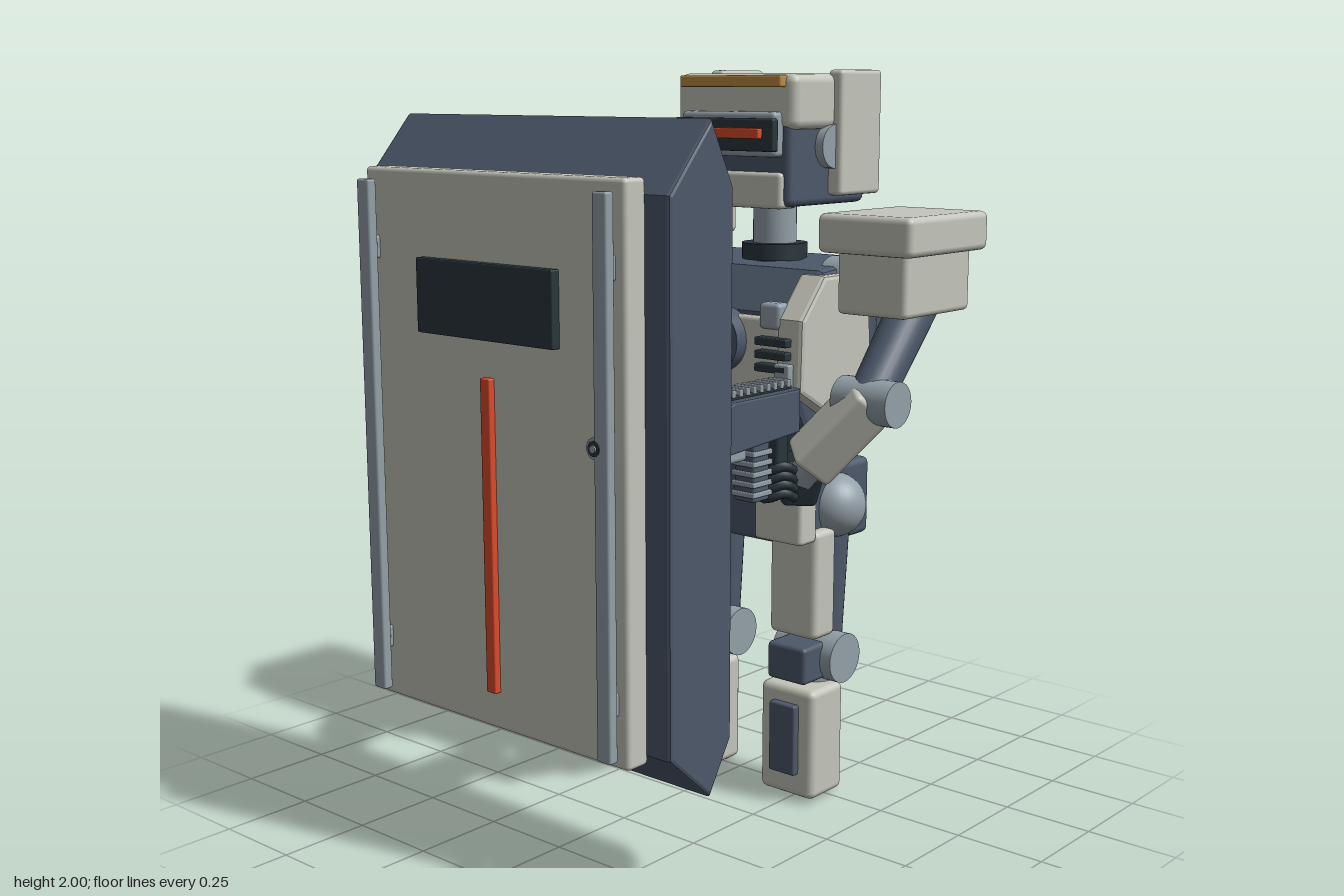
import * as THREE from 'three';
import { RoundedBoxGeometry } from 'three/addons/geometries/RoundedBoxGeometry.js';

const colour = (name, hex) => {
  const m = new THREE.MeshStandardMaterial({ color: hex });
  m.name = name;
  return m;
};

export function createModel() {
  const light = colour('warmGrey', 0xc4c5ba);
  const slate = colour('slateBlue', 0x4c586a);
  const steel = colour('steel', 0x93a0a8);
  const black = colour('darkTeal', 0x29363c);
  const red = colour('signalRed', 0xdc4a2b);
  const amber = colour('amber', 0xbd8c42);

  const model = new THREE.Group();
  model.name = 'shieldRobot';
  const CX = 0.0625; // middle of the robot's body
  let parent = model;
  const section = (name) => {
    parent = new THREE.Group();
    parent.name = name;
    model.add(parent);
  };
  const add = (name, mat, geo) => {
    const mesh = new THREE.Mesh(geo, mat);
    mesh.name = name;
    parent.add(mesh);
    return mesh;
  };
  // rounded box given by its bounds
  const box = (name, mat, [x0, x1], [y0, y1], [z0, z1], r = 0.012) => {
    const w = x1 - x0, h = y1 - y0, d = z1 - z0;
    const m = add(name, mat, new RoundedBoxGeometry(w, h, d, 2, Math.min(r, w * 0.3, h * 0.3, d * 0.3)));
    m.position.set((x0 + x1) / 2, (y0 + y1) / 2, (z0 + z1) / 2);
    return m;
  };
  const around = (c, half) => [c - half, c + half];
  // aim a mesh's y axis from a to b
  const aim = (mesh, a, b) => {
    const dir = b.clone().sub(a).normalize();
    mesh.position.copy(a).add(b).multiplyScalar(0.5);
    mesh.quaternion.setFromUnitVectors(new THREE.Vector3(0, 1, 0), dir);
    return mesh;
  };
  const rod = (name, mat, a, b, r0, r1 = r0) => {
    const A = new THREE.Vector3(...a), B = new THREE.Vector3(...b);
    return aim(add(name, mat, new THREE.CylinderGeometry(r1, r0, A.distanceTo(B), 28)), A, B);
  };
  const limbBox = (name, mat, a, b, w, d) => {
    const A = new THREE.Vector3(...a), B = new THREE.Vector3(...b);
    return aim(add(name, mat, new RoundedBoxGeometry(w, A.distanceTo(B), d, 2, 0.015)), A, B);
  };
  const tube = (name, pts, r) => add(name, black, new THREE.TubeGeometry(
    new THREE.CatmullRomCurve3(pts.map((p) => new THREE.Vector3(...p))), 8, r, 8));
  // side profile of [z, y] points, extruded across x
  const profile = (name, mat, pts, width, x, b = 0.012) => {
    const shape = new THREE.Shape(pts.map((p) => new THREE.Vector2(...p)));
    const g = new THREE.ExtrudeGeometry(shape, {
      depth: width - 2 * b, bevelThickness: b, bevelSize: b, bevelOffset: -b, bevelSegments: 2,
    });
    g.translate(0, 0, b - width / 2).rotateY(-Math.PI / 2);
    const m = add(name, mat, g);
    m.position.x = x;
    return m;
  };

  // Shield
  section('shield');
  profile('shieldBody', slate, [[0.315, 0.36], [0.395, 0.225], [0.545, 0.36],
    [0.545, 1.715], [0.395, 1.885], [0.315, 1.725]], 1.07, -0.105, 0.01);
  box('shieldPlate', light, [-0.56, 0.355], [0.335, 1.755], [0.54, 0.612]);
  for (const x of [-0.522, 0.312]) {
    box('shieldRail', steel, around(x, 0.023), [0.36, 1.725], [0.627, 0.655], 0.006);
    for (const y of [0.5, 1.55]) box('railMount', steel, around(x, 0.012), around(y, 0.03), [0.6, 0.635]);
  }
  box('shieldWindow', black, [-0.345, 0.14], [1.345, 1.535], [0.605, 0.636], 0.004);
  box('shieldStripe', red, [-0.124, -0.09], [0.435, 1.25], [0.605, 0.63], 0.004);
  rod('lockBody', steel, [0.29, 1.13, 0.6], [0.29, 1.13, 0.652], 0.027);
  rod('lockRing', black, [0.29, 1.13, 0.65], [0.29, 1.13, 0.656], 0.019);
  rod('lockCore', steel, [0.29, 1.13, 0.65], [0.29, 1.13, 0.661], 0.009);

  // Head
  section('head');
  box('skull', slate, around(CX, 0.185), [1.645, 1.93], [-0.475, -0.135], 0.02);
  box('headCap', light, around(CX, 0.203), [1.845, 1.99], [-0.485, -0.13], 0.025);
  box('jaw', light, around(CX, 0.165), [1.64, 1.735], [-0.2, -0.12]);
  box('browBar', amber, around(CX, 0.172), [1.955, 1.985], [-0.14, -0.107], 0.005);
  box('visorFrame', steel, around(CX, 0.16), [1.775, 1.892], [-0.15, -0.1]);
  box('visor', black, around(CX, 0.17), [1.79, 1.875], [-0.105, -0.081], 0.006);
  box('eyeStrip', red, around(CX, 0.133), [1.823, 1.85], [-0.085, -0.065], 0.004);
  for (const s of [-1, 1]) {
    box('earGuard', light, around(CX + s * 0.204, 0.024), [1.67, 2], [-0.485, -0.3]);
    rod('earDisc', steel, [CX + s * 0.17, 1.8, -0.3], [CX + s * 0.21, 1.8, -0.3], 0.058);
  }
  rod('neck', steel, [CX, 1.46, -0.31], [CX, 1.67, -0.31], 0.06);
  rod('neckRing', black, [CX, 1.49, -0.31], [CX, 1.535, -0.31], 0.09);

  // Torso, narrowing towards the waist
  section('torso');
  const torso = profile('torsoBlock', slate, [[-0.2, 0.98], [-0.4, 0.98], [-0.462, 1.03], [-0.462, 1.43],
    [-0.41, 1.5], [-0.19, 1.48], [-0.1, 1.37], [-0.1, 1.14]].reverse(), 0.52, CX, 0.02);
  const tp = torso.geometry.attributes.position;
  for (let i = 0; i < tp.count; i++) {
    tp.setX(i, tp.getX(i) * (0.86 + 0.14 * Math.min(1, (tp.getY(i) - 0.98) / 0.4)));
  }
  torso.geometry.computeVertexNormals();
  for (const s of [-1, 1]) {
    profile('sidePanel', light, [[-0.07, 1.17], [-0.075, 1.36], [-0.17, 1.47], [-0.37, 1.47],
      [-0.405, 1.02], [-0.37, 1.0]].reverse(), 0.085, CX + s * 0.236);
    for (let i = 0; i < 3; i++) {
      box('chestVent', black, around(CX + s * 0.19, 0.053), around(1.23 + i * 0.035, 0.011), [-0.1, -0.05], 0.004);
    }
    box('chestTab', steel, around(CX + s * 0.17, 0.035), [1.33, 1.4], [-0.12, -0.07]);
  }
  box('chestPlate', light, around(CX, 0.2), [1.15, 1.36], [-0.13, -0.08]);
  rod('coreHousing', slate, [CX, 1.29, -0.1], [CX, 1.29, -0.04], 0.088);
  rod('coreRing', steel, [CX, 1.29, -0.05], [CX, 1.29, -0.02], 0.06);
  rod('coreLight', red, [CX, 1.29, -0.03], [CX, 1.29, -0.005], 0.042);
  box('backpack', slate, around(CX, 0.183), [1.055, 1.43], [-0.637, -0.44], 0.025);
  for (let i = 0; i < 5; i++) {
    box('coolingFin', steel, around(CX, 0.158), around(1.09 + i * 0.0675, 0.01), [-0.665, -0.625], 0.004);
  }
  rod('waist', black, [CX, 0.92, -0.32], [CX, 1.0, -0.32], 0.14);
  box('pelvis', slate, around(CX, 0.235), [0.72, 0.94], [-0.455, -0.17], 0.02);

  // Legs
  section('legs');
  for (const s of [-1, 1]) {
    const x = CX + s * 0.185;
    const hip = add('hipJoint', steel, new THREE.SphereGeometry(0.09, 28, 20));
    hip.position.set(x + s * 0.035, 0.825, -0.305);
    box('hipSkirt', light, around(x, 0.08), [0.75, 0.935], [-0.17, -0.095]);
    rod('thigh', slate, [x, 0.43, -0.3], [x, 0.8, -0.32], 0.06, 0.066);
    box('thighPlate', light, around(x, 0.08), [0.47, 0.775], [-0.262, -0.165], 0.018);
    rod('knee', steel, [x - 0.1, 0.4, -0.28], [x + 0.1, 0.4, -0.28], 0.07);
    box('kneePad', slate, around(x, 0.065), [0.345, 0.45], [-0.28, -0.14]);
    rod('calf', steel, [x, 0.003, -0.265], [x, 0.38, -0.275], 0.06);
    box('shinGuard', light, around(x, 0.092), [0.015, 0.33], [-0.29, -0.145], 0.02);
    box('shinPlate', slate, around(x, 0.044), [0.083, 0.285], [-0.16, -0.124], 0.006);
  }

  // Shoulders
  section('shoulders');
  for (const s of [-1, 1]) {
    rod('shoulderAxle', steel, [CX + s * 0.2, 1.44, -0.31], [CX + s * 0.4, 1.44, -0.31], 0.07);
    box('shoulderCap', light, around(CX + s * 0.426, 0.146), [1.535, 1.637], [-0.492, -0.125], 0.018);
    box('shoulderBlock', light, around(CX + s * 0.426, 0.108), [1.375, 1.55], [-0.468, -0.165], 0.015);
  }

  // Left arm, folded down to the weapon grip
  section('leftArm');
  rod('upperArm', slate, [0.49, 1.43, -0.4], [0.5, 1.16, -0.15], 0.066, 0.058);
  rod('elbow', steel, [0.42, 1.16, -0.15], [0.592, 1.16, -0.15], 0.06);
  limbBox('forearm', light, [0.51, 1.17, -0.15], [0.36, 0.985, -0.075], 0.12, 0.125);
  rod('wrist', steel, [0.38, 1.0, -0.085], [0.335, 0.945, -0.08], 0.04);
  limbBox('palm', black, [0.35, 0.965, -0.08], [0.315, 0.875, -0.09], 0.06, 0.1);
  for (let i = 0; i < 4; i++) {
    const y = 0.97 - i * 0.024;
    tube('finger', [[0.34, y, -0.05], [0.345, y + 0.02, 0], [0.31, y + 0.005, 0.025], [0.27, y, 0]], 0.013);
  }

  // Right arm, reaching forward to the shield
  section('rightArm');
  rod('upperArm', slate, [-0.36, 1.43, -0.36], [-0.28, 1.13, -0.08], 0.066, 0.058);
  rod('elbow', steel, [-0.36, 1.13, -0.085], [-0.19, 1.13, -0.07], 0.06);
  limbBox('forearm', light, [-0.285, 1.14, -0.07], [-0.235, 1.02, 0.165], 0.14, 0.12);
  rod('wrist', steel, [-0.24, 1.03, 0.13], [-0.232, 0.99, 0.2], 0.04);
  box('palm', black, around(-0.232, 0.048), [0.945, 1.0], [0.16, 0.25]);
  box('handPlate', light, around(-0.232, 0.04), [0.995, 1.01], [0.17, 0.24], 0.004);
  for (let i = 0; i < 4; i++) {
    const x = -0.27 + i * 0.027;
    tube('finger', [[x, 0.98, 0.23], [x, 0.985, 0.275], [x, 0.95, 0.3], [x, 0.91, 0.308]], 0.012);
  }
  tube('thumb', [[-0.27, 0.97, 0.18], [-0.31, 0.965, 0.2], [-0.31, 0.95, 0.25], [-0.285, 0.93, 0.28]], 0.014);

  // Weapon held beside the body
  section('weapon');
  const gx = 0.29;
  profile('weaponBody', slate, [[-0.07, 1.07], [0.22, 1.05], [0.238, 1.075], [0.238, 1.17], [0.2, 1.185],
    [-0.07, 1.185]], 0.105, gx, 0.006);
  box('weaponRail', black, around(gx, 0.03), [1.18, 1.195], [-0.06, 0.2], 0.003);
  for (let i = 0; i < 9; i++) {
    box('railSlat', steel, around(gx, 0.034), [1.19, 1.21], around(-0.045 + i * 0.028, 0.007), 0.003);
  }
  rod('barrel', black, [gx, 1.13, 0.22], [gx, 1.13, 0.31], 0.025);
  box('muzzle', steel, around(gx, 0.05), [1.1, 1.16], [0.235, 0.314]);
  for (const z of [0.26, 0.29]) box('muzzleSlot', black, around(gx, 0.053), [1.12, 1.14], around(z, 0.008), 0.003);
  box('magazine', slate, around(gx, 0.033), [0.905, 1.07], [0.035, 0.1], 0.006);
  for (let i = 0; i < 5; i++) {
    box('magazineRib', steel, around(gx, 0.038), around(0.925 + i * 0.027, 0.007), [0.028, 0.106], 0.003);
  }
  box('foregrip', steel, around(gx, 0.03), [1.02, 1.06], [0.12, 0.2]);
  box('grip', black, around(gx, 0.025), [0.92, 1.09], [-0.06, -0.01]);
  box('rearSight', steel, around(gx, 0.025), [1.17, 1.245], [-0.075, -0.05], 0.005);

  return model;
}
